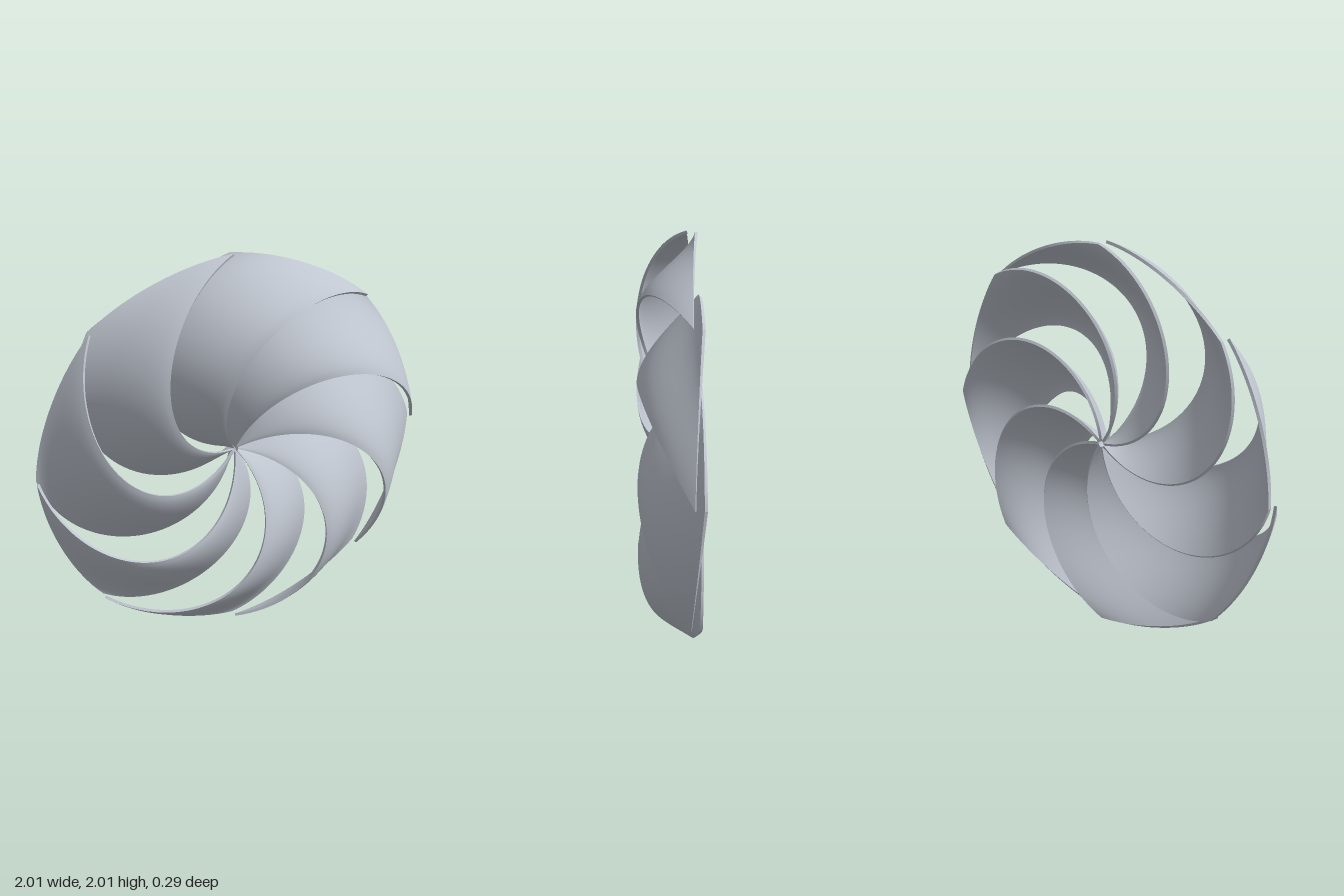
import * as THREE from 'three';
import { mergeGeometries } from 'three/addons/utils/BufferGeometryUtils.js';

const BLADES = 8;
const STEP = (Math.PI * 2) / BLADES;
const HALF = 0.007; // half the sheet thickness
const BACK_Z = -0.136;

// Middle of the blade sheet: t runs from hub to rim, s from the raised edge to the back edge.
function sheet(t, s) {
  const half = Math.acos(0.1 / 0.51);
  const a = half * (2 * t - 1);
  const arch = Math.sin(Math.PI * t);
  const x = 0.5 + 0.51 * Math.sin(a) - 0.03 * arch;
  const y = 0.51 * Math.cos(a) - 0.1;
  const dip = 1 - 0.02 * t * Math.sin(Math.PI * s);
  const c = Math.cos(s * STEP) * dip, n = Math.sin(s * STEP) * dip;
  const front = -0.092 + 0.235 * arch;
  const z = front + (BACK_Z - front) * Math.pow(s, 1.5);
  return new THREE.Vector3(x * c - y * n, x * n + y * c, z);
}

// Point offset from the sheet by d along its normal.
function blade(t, s, d) {
  t = 0.012 + 0.988 * t;
  const e = 0.002;
  const du = sheet(t + e, s).sub(sheet(t - e, s));
  const dv = sheet(t, Math.min(1, s + e)).sub(sheet(t, Math.max(0, s - e)));
  return sheet(t, s).addScaledVector(du.cross(dv).normalize(), d);
}

// Grid surface facing du x dv.
function grid(fn, nu, nv) {
  const pos = [], index = [];
  for (let j = 0; j <= nv; j++)
    for (let i = 0; i <= nu; i++) pos.push(...fn(i / nu, j / nv).toArray());
  for (let j = 0; j < nv; j++)
    for (let i = 0; i < nu; i++) {
      const a = j * (nu + 1) + i, b = a + 1, c = a + nu + 1, d = c + 1;
      index.push(a, b, d, a, d, c);
    }
  const g = new THREE.BufferGeometry();
  g.setAttribute('position', new THREE.Float32BufferAttribute(pos, 3));
  g.setIndex(index);
  g.computeVertexNormals();
  return g;
}

export function createModel() {
  const metal = new THREE.MeshStandardMaterial({ color: 0xbfc5cf });
  metal.name = 'light grey metal';
  const thick = (v) => HALF * (2 * v - 1);
  const NT = 56, NS = 20;

  // Front and back faces, then the four narrow rims
  const geometry = mergeGeometries([
    grid((u, v) => blade(u, v, HALF), NT, NS),
    grid((u, v) => blade(v, u, -HALF), NS, NT),
    grid((u, v) => blade(u, 0, thick(v)), NT, 1),
    grid((u, v) => blade(v, 1, thick(u)), 1, NT),
    grid((u, v) => blade(1, u, thick(v)), NS, 1),
    grid((u, v) => blade(0, v, thick(u)), 1, NS),
  ]);

  const model = new THREE.Group();
  model.name = 'spiralRotor';
  for (let i = 0; i < BLADES; i++) {
    const mesh = new THREE.Mesh(geometry, metal);
    mesh.name = 'blade' + (i + 1);
    mesh.position.y = 1;
    mesh.rotation.z = i * STEP;
    model.add(mesh);
  }
  return model;
}
